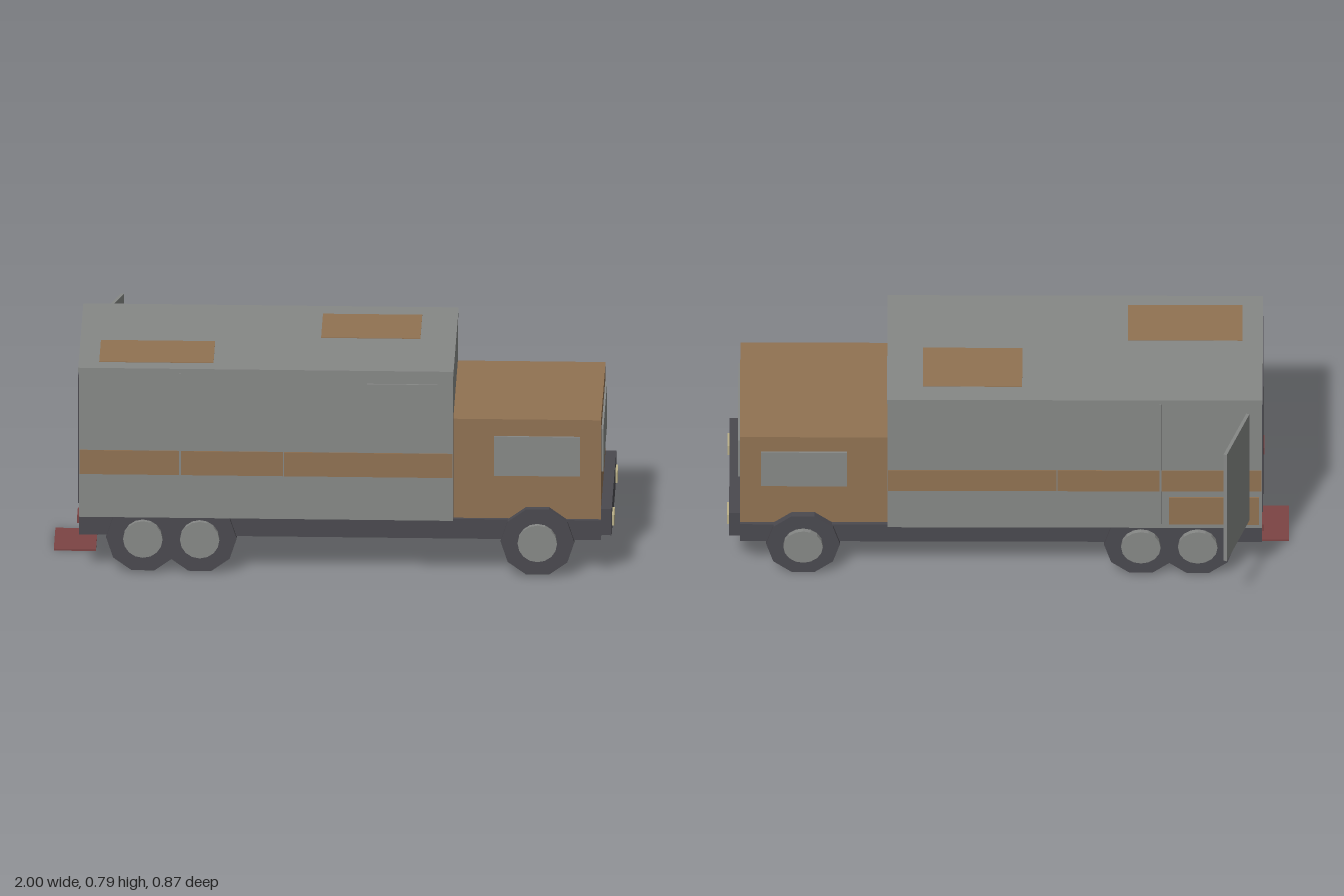
import * as THREE from 'three';

export function createModel() {
  const truck = new THREE.Group();
  truck.name = 'truck';

  const paint = (name, color) => {
    const m = new THREE.MeshStandardMaterial({ color, flatShading: true });
    m.name = name;
    return m;
  };
  const grey = paint('body grey', 0x868886);
  const brown = paint('cab brown', 0x907252);
  const dark = paint('chassis charcoal', 0x4a494f);
  const cream = paint('lamp cream', 0xbab088);
  const red = paint('dull red', 0x7c4444);

  // Box given by its limits on each axis
  const box = (name, mat, [x0, x1], [y0, y1], [z0, z1]) => {
    const mesh = new THREE.Mesh(new THREE.BoxGeometry(x1 - x0, y1 - y0, z1 - z0), mat);
    mesh.position.set((x0 + x1) / 2, (y0 + y1) / 2, (z0 + z1) / 2);
    mesh.name = name;
    truck.add(mesh);
    return mesh;
  };

  // Main volumes
  box('chassis', dark, [-0.905, 0.95], [0.14, 0.215], [-0.177, 0.402]);
  box('cargoBody', grey, [-0.905, 0.425], [0.213, 0.783], [-0.19, 0.416]);
  box('roofLip', grey, [-0.907, 0.427], [0.767, 0.785], [-0.193, 0.419]);
  box('cab', brown, [0.42, 0.95], [0.213, 0.594], [-0.163, 0.39]);
  box('bumper', dark, [0.95, 0.988], [0.155, 0.255], [-0.165, 0.392]);

  // Cab glazing
  box('windscreen', grey, [0.948, 0.957], [0.378, 0.54], [-0.112, 0.34]);
  box('leftCabWindow', grey, [0.57, 0.875], [0.38, 0.53], [-0.17, -0.162]);
  box('rightCabWindow', grey, [0.57, 0.875], [0.38, 0.53], [0.389, 0.397]);

  // Lamps
  for (const z of [0.315, -0.088])
    box('headlight', cream, [0.987, 0.996], [0.176, 0.217], [z - 0.038, z + 0.038]);
  for (const z of [0.333, -0.115])
    box('tailLight', red, [-0.912, -0.904], [0.17, 0.2], [z - 0.037, z + 0.037]);

  // Stripes and panel seams on both sides of the body
  const seams = [-0.905, -0.545, -0.177, 0.425];
  for (const z of [-0.19, 0.416]) {
    const face = [z - 0.003, z + 0.003];
    for (let i = 0; i < 3; i++)
      box('sideStripe', brown, [seams[i] + 0.002, seams[i + 1] - 0.002], [0.378, 0.47], face);
    box('sideSeam', grey, [-0.549, -0.541], [0.23, 0.767], [z - 0.005, z + 0.005]);
  }
  box('sideWindow', grey, [0.12, 0.37], [0.5, 0.735], [0.414, 0.422]);
  box('storageHatch', brown, [-0.895, -0.575], [0.232, 0.352], [-0.196, -0.188]);

  // Roof hatches
  box('frontRoofHatch', brown, [-0.053, 0.3], [0.782, 0.787], [-0.115, 0.11]);
  box('rearRoofHatch', brown, [-0.834, -0.428], [0.782, 0.787], [0.157, 0.362]);

  // Rear opening, open door and ground mat
  box('rearOpening', dark, [-0.909, -0.902], [0.25, 0.73], [-0.145, 0.375]);
  const door = box('openDoor', grey, [-0.126, 0.126], [0.252, 0.727], [-0.006, 0.006]);
  door.position.x = -0.815;
  door.position.z = -0.314;
  door.rotation.y = Math.atan2(0.24, 0.08);
  box('groundMat', red, [-1, -0.85], [0, 0.007], [0.012, 0.212]);

  // Ten-sided wheels with round hub caps
  const disc = (name, mat, r, depth, sides, x, z) => {
    const geo = new THREE.CylinderGeometry(r, r, depth, sides, 1, false, Math.PI / 2);
    geo.rotateX(Math.PI / 2);
    const mesh = new THREE.Mesh(geo, mat);
    mesh.position.set(x, 0.135, z);
    mesh.name = name;
    truck.add(mesh);
  };
  for (const x of [0.725, -0.475, -0.677]) {
    for (const side of [-1, 1]) {
      disc('wheel', dark, 0.131, 0.075, 10, x, 0.1135 + side * 0.264);
      disc('hubCap', grey, 0.07, 0.03, 16, x, 0.1135 + side * 0.304);
    }
  }

  return truck;
}
